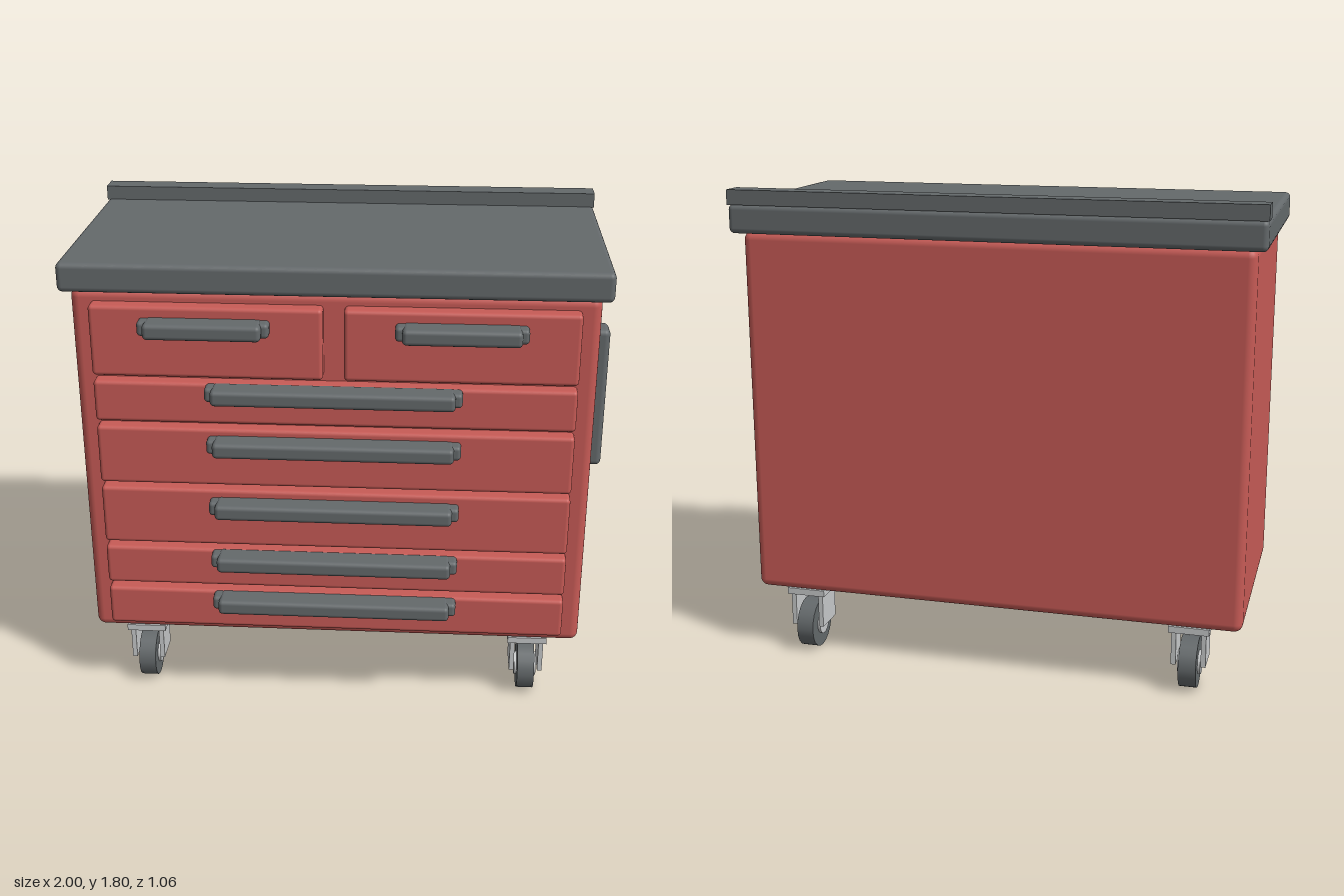
import * as THREE from 'three';
import { RoundedBoxGeometry } from 'three/addons/geometries/RoundedBoxGeometry.js';

const red = new THREE.MeshStandardMaterial({ color: 0xc75b56 });
red.name = 'red paint';
const grey = new THREE.MeshStandardMaterial({ color: 0x64696b });
grey.name = 'dark grey';
const steel = new THREE.MeshStandardMaterial({ color: 0xc8cacb });
steel.name = 'light steel';

// Box given by its limits on each axis, with rounded edges when r > 0
function block(name, material, [x0, x1], [y0, y1], [z0, z1], r = 0) {
  const w = x1 - x0, h = y1 - y0, d = z1 - z0;
  const geometry = r > 0
    ? new RoundedBoxGeometry(w, h, d, 3, r)
    : new THREE.BoxGeometry(w, h, d);
  const mesh = new THREE.Mesh(geometry, material);
  mesh.name = name;
  mesh.position.set((x0 + x1) / 2, (y0 + y1) / 2, (z0 + z1) / 2);
  return mesh;
}

// Pull handle: a solid bar with a smaller block at each end
function createHandle(x0, x1, y) {
  const g = new THREE.Group();
  g.name = 'drawerHandle';
  g.add(block('handleBar', grey, [x0 + 0.025, x1 - 0.025], [y - 0.029, y + 0.029], [0.435, 0.533], 0.016));
  for (const x of [x0, x1 - 0.045]) {
    g.add(block('handleEnd', grey, [x, x + 0.045], [y - 0.027, y + 0.027], [0.435, 0.498], 0.014));
  }
  return g;
}

// Drawer front with its handle
function createDrawer([x0, x1], [y0, y1], [h0, h1], handleY) {
  const g = new THREE.Group();
  g.name = 'drawer';
  g.add(block('drawerFront', red, [x0, x1], [y0, y1], [0.36, 0.45], 0.015));
  g.add(createHandle(h0, h1, handleY));
  return g;
}

// Wheel, hub and fork under a mounting plate
function createCaster(x, z) {
  const g = new THREE.Group();
  g.name = 'caster';
  g.add(block('mountPlate', steel, [-0.075, 0.075], [0.232, 0.257], [-0.075, 0.075]));
  for (const s of [-0.055, 0.055]) {
    g.add(block('forkSide', steel, [s - 0.009, s + 0.009], [0.103, 0.24], [-0.063, 0.063]));
  }
  for (const [name, mat, r, w] of [['tyre', grey, 0.096, 0.065], ['hub', steel, 0.045, 0.085]]) {
    const wheel = new THREE.Mesh(new THREE.CylinderGeometry(r, r, w, 20), mat);
    wheel.name = name;
    wheel.rotation.z = Math.PI / 2;
    wheel.position.y = 0.096;
    g.add(wheel);
  }
  g.position.set(x, 0, z);
  return g;
}

export function createModel() {
  const model = new THREE.Group();
  model.name = 'toolCabinet';

  // Cabinet and worktop
  model.add(block('cabinet', red, [-0.963, 0.915], [0.255, 1.645], [-0.49, 0.395], 0.032));
  model.add(block('worktop', grey, [-1, 0.95], [1.64, 1.747], [-0.53, 0.43], 0.02));
  model.add(block('rearLip', grey, [-1, 0.95], [1.745, 1.8], [-0.53, -0.443]));

  // Two half-width drawers on top
  model.add(createDrawer([-0.89, -0.06], [1.337, 1.602], [-0.71, -0.245], 1.534));
  model.add(createDrawer([0.015, 0.845], [1.337, 1.602], [0.196, 0.661], 1.534));

  // Full-width drawers: bottom, top, handle height
  const rows = [
    [1.16, 1.317, 1.289],
    [0.912, 1.139, 1.085],
    [0.663, 0.893, 0.835],
    [0.487, 0.643, 0.614],
    [0.307, 0.464, 0.434],
  ];
  for (const [y0, y1, h] of rows) {
    model.add(createDrawer([-0.89, 0.845], [y0, y1], [-0.482, 0.438], h));
  }

  // Upright push handle on the left side
  model.add(block('sideHandle', grey, [0.9, 1], [0.823, 1.39], [-0.1, 0.005], 0.022));

  // Four casters
  for (const x of [-0.77, 0.723]) {
    for (const z of [0.31, -0.405]) model.add(createCaster(x, z));
  }
  return model;
}
